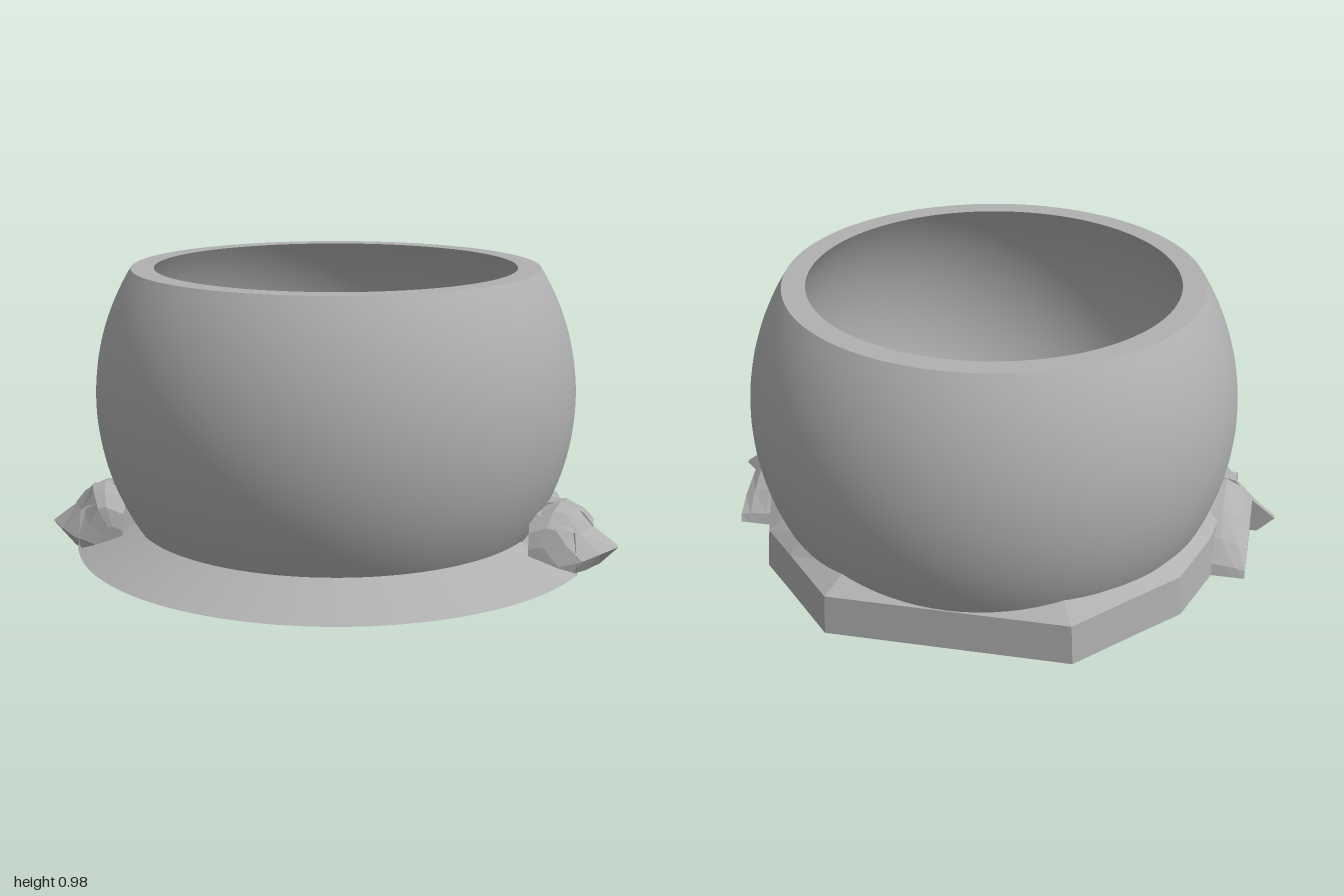
import * as THREE from 'three';

const CZ = -0.04;        // bowl axis in z
const CY = 0.53;         // bowl centre height
const R_OUT = 0.84, R_IN = 0.774;
const TOP = 0.98, FLOOR = 0.08;
const ARC = THREE.MathUtils.degToRad(70); // half angle of the front skirt

// Surface through matching rings of [x, y, z] points, flat shaded
function loft(rings, closed = true) {
  const out = [];
  const tri = (a, b, c) => out.push(...a, ...b, ...c);
  const n = rings[0].length;
  for (let k = 0; k < rings.length - 1; k++) {
    const a = rings[k], b = rings[k + 1];
    for (let i = 0; i < (closed ? n : n - 1); i++) {
      const j = (i + 1) % n;
      tri(a[i], a[j], b[j]);
      tri(a[i], b[j], b[i]);
    }
  }
  if (closed) {
    const first = rings[0], last = rings[rings.length - 1];
    for (let i = 1; i < n - 1; i++) {
      tri(first[0], first[i + 1], first[i]);
      tri(last[0], last[i], last[i + 1]);
    }
  }
  const g = new THREE.BufferGeometry();
  g.setAttribute('position', new THREE.Float32BufferAttribute(out, 3));
  g.computeVertexNormals();
  return g;
}

// Mirror rings to the other side, keeping faces outward
function mirrorRings(rings, side) {
  if (side > 0) return rings;
  return rings.map(r => r.map(([x, y, z]) => [-x, y, z]).reverse());
}

// Arc of the bowl profile from height y0 to y1
function bowlArc(radius, y0, y1) {
  const pts = [];
  for (let i = 0; i <= 32; i++) {
    const a0 = Math.asin((y0 - CY) / radius), a1 = Math.asin((y1 - CY) / radius);
    const a = a0 + (a1 - a0) * i / 32;
    pts.push(new THREE.Vector2(radius * Math.cos(a), CY + radius * Math.sin(a)));
  }
  return pts;
}

export function createModel() {
  const model = new THREE.Group();
  const grey = new THREE.MeshStandardMaterial({ color: 0xb0b0b0, side: THREE.DoubleSide });
  grey.name = 'plain grey';
  const add = (name, geometry, z = 0) => {
    const mesh = new THREE.Mesh(geometry, grey);
    mesh.name = name;
    mesh.position.z = z;
    model.add(mesh);
    return mesh;
  };
  const lathe = (name, pts) => add(name, new THREE.LatheGeometry(pts, 96), CZ);

  // Hollow bowl, one mesh per surface so the rims stay sharp
  const outer = bowlArc(R_OUT, FLOOR - 0.02, TOP);
  const inner = bowlArc(R_IN, TOP, FLOOR);
  const lip = inner[inner.length - 1];
  lathe('bowlOutside', outer);
  lathe('bowlRim', [outer[outer.length - 1], inner[0]]);
  lathe('bowlInside', inner);
  lathe('innerLedge', [lip, new THREE.Vector2(0.62, FLOOR)]);
  lathe('baseOpening', [new THREE.Vector2(0.62, FLOOR), new THREE.Vector2(0.62, 0)]);

  // Sloping skirt around the front
  add('frontSkirt', new THREE.CylinderGeometry(0.715, 0.92, 0.085, 64, 1, true, -ARC, 2 * ARC), CZ)
    .position.y = 0.0425;

  // Faceted wall around the sides and back, [x, z] from front left to front right
  const half = [[0.865, 0.275], [0.84, 0.08], [0.8, -0.2], [0.72, -0.45], [0.6, -0.58], [0.41, -0.79]];
  const plan = [...half, ...half.map(([x, z]) => [-x, z]).reverse()];
  const wall = [
    plan.map(([x, z]) => [x, 0, z]),
    plan.map(([x, z]) => [x * 0.985, 0.145, z]),
    plan.map(([x, z]) => {
      const s = 0.74 / Math.hypot(x, z - CZ);
      return [x * s, 0.2, CZ + (z - CZ) * s];
    }),
  ];
  add('backWall', loft(wall, false));

  // Underside plate with the main opening and three screw holes
  const outline = plan.map(([x, z]) => new THREE.Vector2(x, z));
  for (let i = 1; i < 48; i++) {
    const a = -ARC + 2 * ARC * i / 48;
    outline.push(new THREE.Vector2(0.92 * Math.sin(a), CZ + 0.92 * Math.cos(a)));
  }
  const plate = new THREE.Shape(outline);
  const punch = (x, z, r) => plate.holes.push(new THREE.Path().absarc(x, z, r, 0, Math.PI * 2, true));
  punch(0, CZ, 0.62);
  for (const a of [Math.PI / 3, Math.PI, -Math.PI / 3]) {
    const x = 0.68 * Math.sin(a), z = CZ + 0.68 * Math.cos(a);
    punch(x, z, 0.025);
    const bore = add('screwHole', new THREE.CylinderGeometry(0.025, 0.025, 0.08, 20, 1, true));
    bore.position.set(x, 0.04, z);
    const end = add('screwHoleEnd', new THREE.CircleGeometry(0.025, 20));
    end.rotation.x = Math.PI / 2;
    end.position.set(x, 0.08, z);
  }
  add('underside', new THREE.ShapeGeometry(plate, 96).rotateX(Math.PI / 2));

  // Side lugs: a pointed fin in front of a rounded fender
  const finSection = [[0.7, 0], [0.94, 0], [1, 0.06], [0.91, 0.13], [0.85, 0.2], [0.8, 0.21], [0.7, 0.18]];
  const finSteps = [[0.12, 1, 1], [0.14, 1, 1], [0.22, 0.8, 0.97], [0.27, 0.6, 0.75], [0.285, 0.35, 0.45]];
  const fin = finSteps.map(([z, w, h]) => finSection.map(([x, y]) => [0.7 + (x - 0.7) * w, y * h, z]));
  const archSection = [[0.13, 0], [-0.2, 0], [-0.19, 0.04], [-0.13, 0.11], [-0.04, 0.17], [0.05, 0.2], [0.13, 0.205]];
  const archSteps = [[0.7, 1], [0.82, 1], [0.88, 0.85], [0.915, 0.64]];
  const arch = archSteps.map(([x, h]) => archSection.map(([z, y]) => [x, y * h, z]));
  for (const [side, label] of [[1, 'left'], [-1, 'right']]) {
    add(label + 'Fin', loft(mirrorRings(fin, side)));
    add(label + 'Fender', loft(mirrorRings(arch, side)));
  }
  return model;
}
